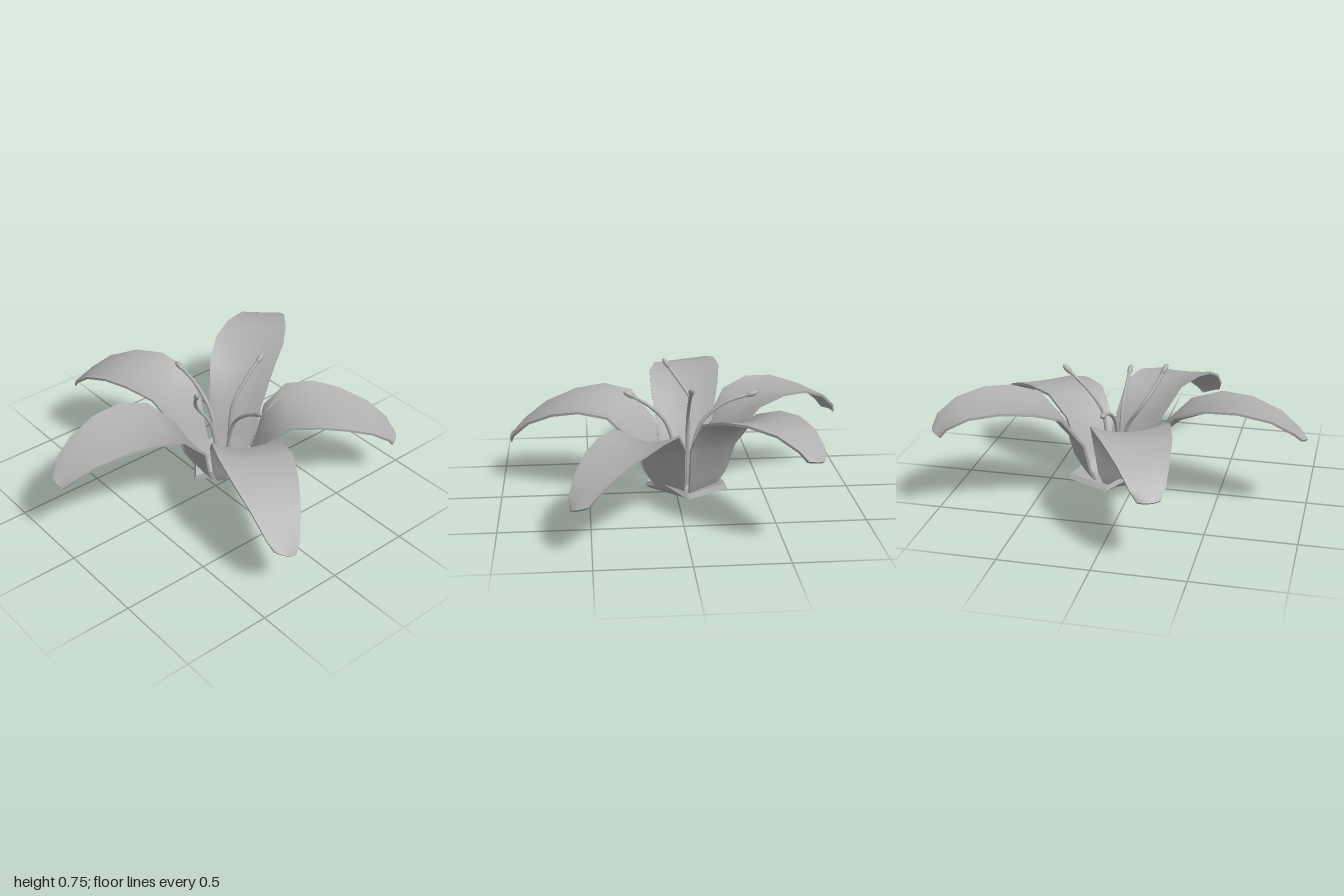
import * as THREE from 'three';
import { toCreasedNormals } from 'three/addons/utils/BufferGeometryUtils.js';

const CX = 0.1, CZ = -0.04; // flower axis
const THICK = 0.014;

// Shared cup rows: radius, height, half width, edge lift
const CUP = [[0.14, 0.1, 0.09, 0], [0.19, 0.19, 0.13, 0.01], [0.235, 0.35, 0.16, 0.03]];
// Shared blade rows: fraction of length, half width, edge lift
const BLADE = [[0.36, 0.195, 0.05], [0.52, 0.207, 0.03], [0.68, 0.182, 0.01],
  [0.84, 0.135, 0], [0.95, 0.09, 0], [1, 0.06, 0]];

// Each petal: direction to the tip, length, blade heights, sideways tilt
const PETALS = [
  { dir: [-0.4, -0.92], len: 1.0, heights: [0.5, 0.57, 0.58, 0.53, 0.44, 0.39], tilt: 0 },
  { dir: [0.825, -0.565], len: 1.04, heights: [0.52, 0.6, 0.64, 0.63, 0.57, 0.52], tilt: 0.012 },
  { dir: [0.79, 0.61], len: 1.0, heights: [0.45, 0.48, 0.465, 0.41, 0.33, 0.28], tilt: -0.022 },
  { dir: [-0.385, 0.923], len: 1.07, heights: [0.48, 0.52, 0.5, 0.43, 0.33, 0.28], tilt: 0.025 },
  { dir: [-0.997, -0.085], len: 1.1, heights: [0.5, 0.58, 0.6, 0.565, 0.49, 0.45], tilt: 0.018 },
];

function buildGeometry(pos, idx) {
  const g = new THREE.BufferGeometry();
  g.setAttribute('position', new THREE.Float32BufferAttribute(pos, 3));
  g.setIndex(idx);
  return g;
}

// Thin closed shell lofted along the petal
function petalGeometry({ dir, len, heights, tilt }) {
  const [dx, dz] = new THREE.Vector2(...dir).normalize().toArray();
  const rows = [...CUP, ...BLADE.map(([s, w, l], i) => [s * len, heights[i], w, l])];
  const M = 6, N = 2 * (M + 1), pos = [], idx = [];
  rows.forEach(([r, y, w, lift], i) => {
    const a = rows[Math.max(i - 1, 0)], b = rows[Math.min(i + 1, rows.length - 1)];
    const n = new THREE.Vector2(-(b[1] - a[1]), b[0] - a[0]).normalize();
    const tip = i === rows.length - 1 ? 0.02 : 0;
    for (let k = 0; k < N; k++) {
      const under = k > M;
      const u = ((under ? N - 1 - k : k) / M) * 2 - 1;
      const off = under ? -THICK : 0;
      const rr = r + n.x * off - tip * u * u;
      const yy = y + lift * u * u + tilt * u * (i < 2 ? 0 : 1) + n.y * off;
      pos.push(CX + dx * rr - dz * u * w, yy, CZ + dz * rr + dx * u * w);
    }
  });
  for (let i = 0; i < rows.length - 1; i++) {
    for (let k = 0; k < N; k++) {
      const a = i * N + k, b = i * N + (k + 1) % N;
      idx.push(a, b, a + N, b, b + N, a + N);
    }
  }
  // tip edge
  const L = (rows.length - 1) * N;
  for (let k = 0; k < M; k++) {
    const p = L + k, q = L + k + 1, s = L + N - 1 - k, t = s - 1;
    idx.push(p, q, s, q, t, s);
  }
  return toCreasedNormals(buildGeometry(pos, idx), 0.7);
}

// Four-cornered cup with raised points between the corners
function calyxGeometry() {
  const pos = [CX, 0, CZ, CX, 0.05, CZ], idx = [];
  for (let k = 0; k < 8; k++) {
    const peak = k % 2 === 1, bent = k === 7;
    const r = bent ? 0.305 : peak ? 0.178 : 0.225;
    const y = peak ? 0.135 : 0.08;
    const c = Math.cos(k * Math.PI / 4), s = Math.sin(k * Math.PI / 4);
    pos.push(CX + c * r, y, CZ + s * r);
    pos.push(CX + c * r * 0.95, y + 0.028, CZ + s * r * 0.95);
  }
  for (let k = 0; k < 8; k++) {
    const o = 2 + 2 * k, i = o + 1, o2 = 2 + 2 * ((k + 1) % 8), i2 = o2 + 1;
    idx.push(0, o, o2, o, i, o2, o2, i, i2, 1, i2, i);
  }
  const g = buildGeometry(pos, idx).toNonIndexed();
  g.computeVertexNormals();
  return g;
}

// Stamen paths from base to tip
const STAMENS = [
  [[0.14, 0.1, -0.05], [0.145, 0.3, -0.05], [0.17, 0.48, -0.05], [0.26, 0.61, -0.05], [0.36, 0.705, -0.05]],
  [[0.08, 0.1, 0.0], [0.08, 0.3, 0.02], [0.08, 0.46, 0.07], [0.08, 0.56, 0.17], [0.08, 0.615, 0.26]],
  [[0.08, 0.1, -0.08], [0.07, 0.3, -0.09], [0.07, 0.46, -0.15], [0.07, 0.56, -0.28], [0.07, 0.6, -0.41]],
  [[0.06, 0.1, -0.05], [0.02, 0.4, -0.07], [-0.06, 0.53, -0.09], [-0.13, 0.64, -0.02], [-0.165, 0.715, 0.035]],
];

export function createModel() {
  const group = new THREE.Group();
  const gray = new THREE.MeshStandardMaterial({ color: 0xb0b0b0 });
  gray.name = 'softGray';

  const add = (parent, name, geometry) => {
    const mesh = new THREE.Mesh(geometry, gray);
    mesh.name = name;
    parent.add(mesh);
    return mesh;
  };

  PETALS.forEach((p, i) => add(group, `petal${i + 1}`, petalGeometry(p)));
  add(group, 'calyx', calyxGeometry());

  STAMENS.forEach((pts, i) => {
    const stamen = new THREE.Group();
    stamen.name = `stamen${i + 1}`;
    const curve = new THREE.CatmullRomCurve3(pts.map((p) => new THREE.Vector3(...p)));
    add(stamen, 'filament', new THREE.TubeGeometry(curve, 16, 0.01, 8));
    // pollen head along the filament's end direction
    const head = add(stamen, 'anther', new THREE.SphereGeometry(1, 10, 8));
    const dir = curve.getTangent(1);
    head.scale.set(0.016, 0.036, 0.016);
    head.quaternion.setFromUnitVectors(new THREE.Vector3(0, 1, 0), dir);
    head.position.copy(curve.getPoint(1)).addScaledVector(dir, 0.01);
    group.add(stamen);
  });

  return group;
}
